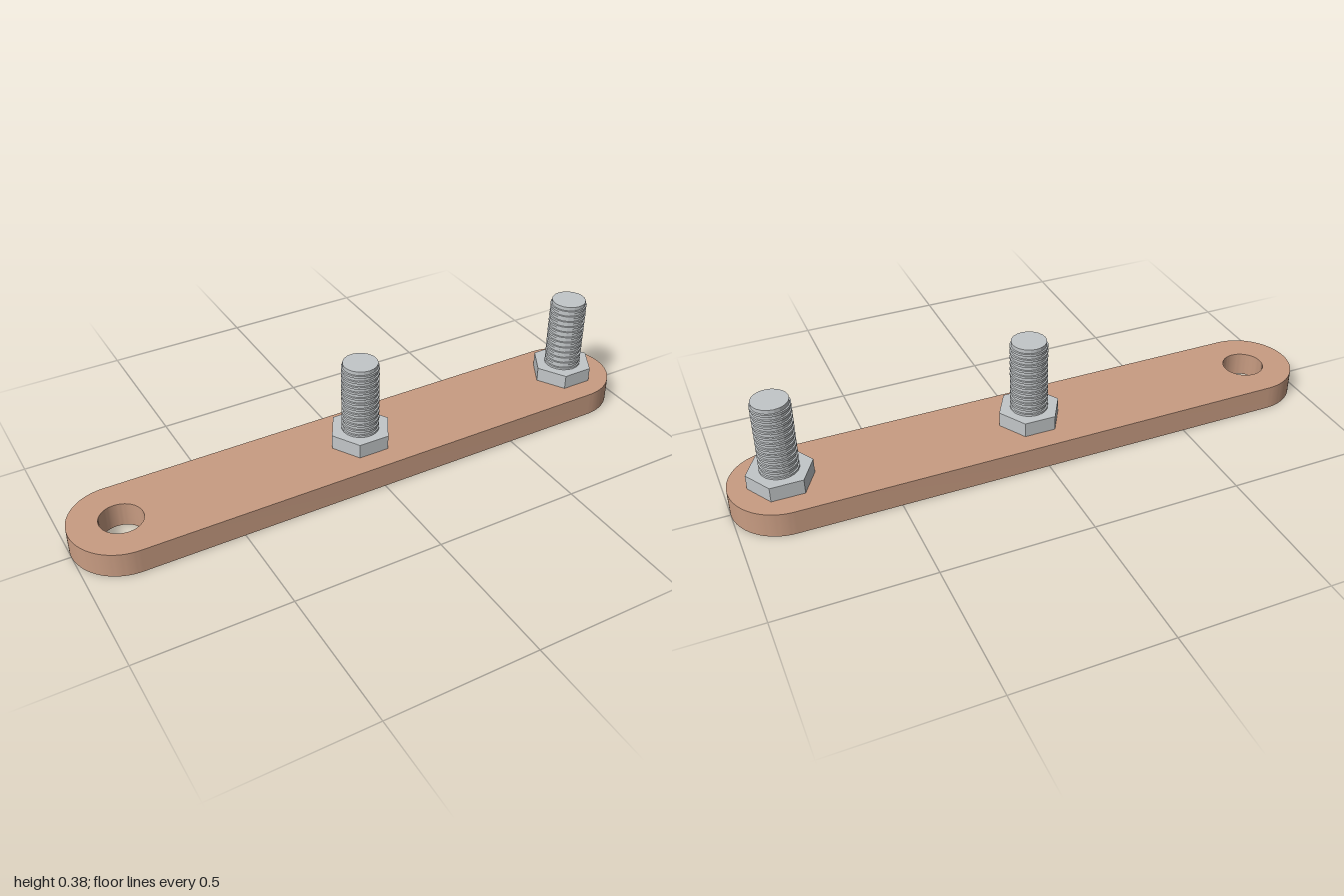
import * as THREE from 'three';
import { toCreasedNormals } from 'three/addons/utils/BufferGeometryUtils.js';

const PLATE_H = 0.083, PLATE_R = 0.167, END_X = 0.833;
const NUT_TOP = 0.133, BOLT_TOP = 0.383;

function material(name, color) {
  const m = new THREE.MeshStandardMaterial({ color });
  m.name = name;
  return m;
}

// Rounded bar with one through hole
function plateGeometry() {
  const shape = new THREE.Shape();
  shape.moveTo(-END_X, -PLATE_R);
  shape.lineTo(END_X, -PLATE_R);
  shape.absarc(END_X, 0, PLATE_R, -Math.PI / 2, Math.PI / 2, false);
  shape.lineTo(-END_X, PLATE_R);
  shape.absarc(-END_X, 0, PLATE_R, Math.PI / 2, Math.PI * 1.5, false);
  const hole = new THREE.Path();
  hole.absarc(-END_X, 0, 0.07, 0, Math.PI * 2, true);
  shape.holes.push(hole);
  const geo = new THREE.ExtrudeGeometry(shape, { depth: PLATE_H, bevelEnabled: false, curveSegments: 32 });
  geo.rotateX(-Math.PI / 2);
  return toCreasedNormals(geo, 0.5);
}

// Stud shaft with raised thread rings, as one turned profile
function studGeometry() {
  const r = 0.058, ringR = 0.0625, half = 0.005;
  const pts = [new THREE.Vector2(r, PLATE_H)];
  for (let i = 0; i < 12; i++) {
    const y = 0.136 + i * 0.0208;
    pts.push(
      new THREE.Vector2(r, y - half),
      new THREE.Vector2(ringR, y - half * 0.8),
      new THREE.Vector2(ringR, y + half * 0.8),
      new THREE.Vector2(r, y + half)
    );
  }
  pts.push(new THREE.Vector2(r, BOLT_TOP), new THREE.Vector2(0, BOLT_TOP));
  return toCreasedNormals(new THREE.LatheGeometry(pts, 20), 0.2);
}

export function createModel() {
  const model = new THREE.Group();
  model.name = 'studPlate';
  const copper = material('copper', 0xc89c82);
  const steel = material('steel', 0xc2c6c8);

  const plate = new THREE.Mesh(plateGeometry(), copper);
  plate.name = 'plate';
  model.add(plate);

  // Hex nut with corners pointing along x
  const nutGeo = toCreasedNormals(new THREE.CylinderGeometry(0.106, 0.106, NUT_TOP - PLATE_H, 6), 0.3);
  nutGeo.rotateY(Math.PI / 2);
  nutGeo.translate(0, (NUT_TOP + PLATE_H) / 2, 0);
  const studGeo = studGeometry();

  [['middleBolt', 0], ['leftBolt', END_X]].forEach(([name, x]) => {
    const bolt = new THREE.Group();
    bolt.name = name;
    bolt.position.x = x;
    const nut = new THREE.Mesh(nutGeo, steel);
    nut.name = 'hexNut';
    const stud = new THREE.Mesh(studGeo, steel);
    stud.name = 'threadedStud';
    bolt.add(nut, stud);
    model.add(bolt);
  });
  return model;
}
